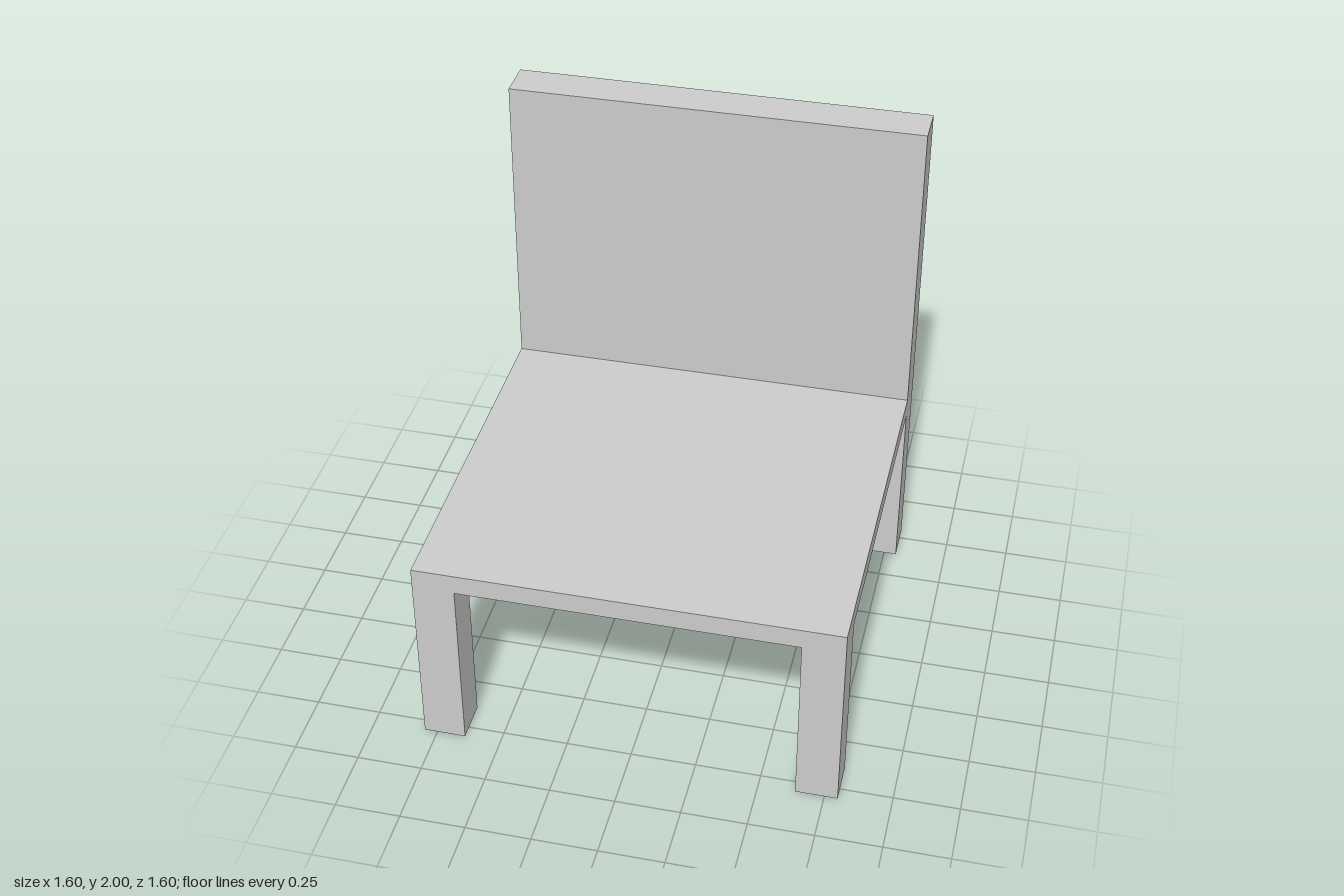
import * as THREE from 'three';

const WIDTH = 1.6;        // seat width and depth
const POST = 0.16;        // leg side and backrest thickness
const SEAT_TOP = 0.8;
const SEAT_THICK = 0.08;
const HEIGHT = 2;

export function createModel() {
  const chair = new THREE.Group();
  chair.name = 'chair';
  const material = new THREE.MeshStandardMaterial({ color: 0xcccccc });

  // Box standing on height y
  const addBox = (name, w, h, d, x, y, z) => {
    const mesh = new THREE.Mesh(new THREE.BoxGeometry(w, h, d), material);
    mesh.name = name;
    mesh.position.set(x, y + h / 2, z);
    chair.add(mesh);
  };

  const legHeight = SEAT_TOP - SEAT_THICK;
  const edge = (WIDTH - POST) / 2;

  // Seat slab
  addBox('seat', WIDTH, SEAT_THICK, WIDTH, 0, legHeight, 0);

  // Backrest panel, flush with the rear edge of the seat
  addBox('backrest', WIDTH, HEIGHT - SEAT_TOP, POST, 0, SEAT_TOP, -edge);

  // Four square legs at the corners
  for (const [side, sx] of [['Left', 1], ['Right', -1]]) {
    for (const [end, sz] of [['front', 1], ['back', -1]]) {
      addBox(`${end}${side}Leg`, POST, legHeight, POST, sx * edge, 0, sz * edge);
    }
  }

  return chair;
}
